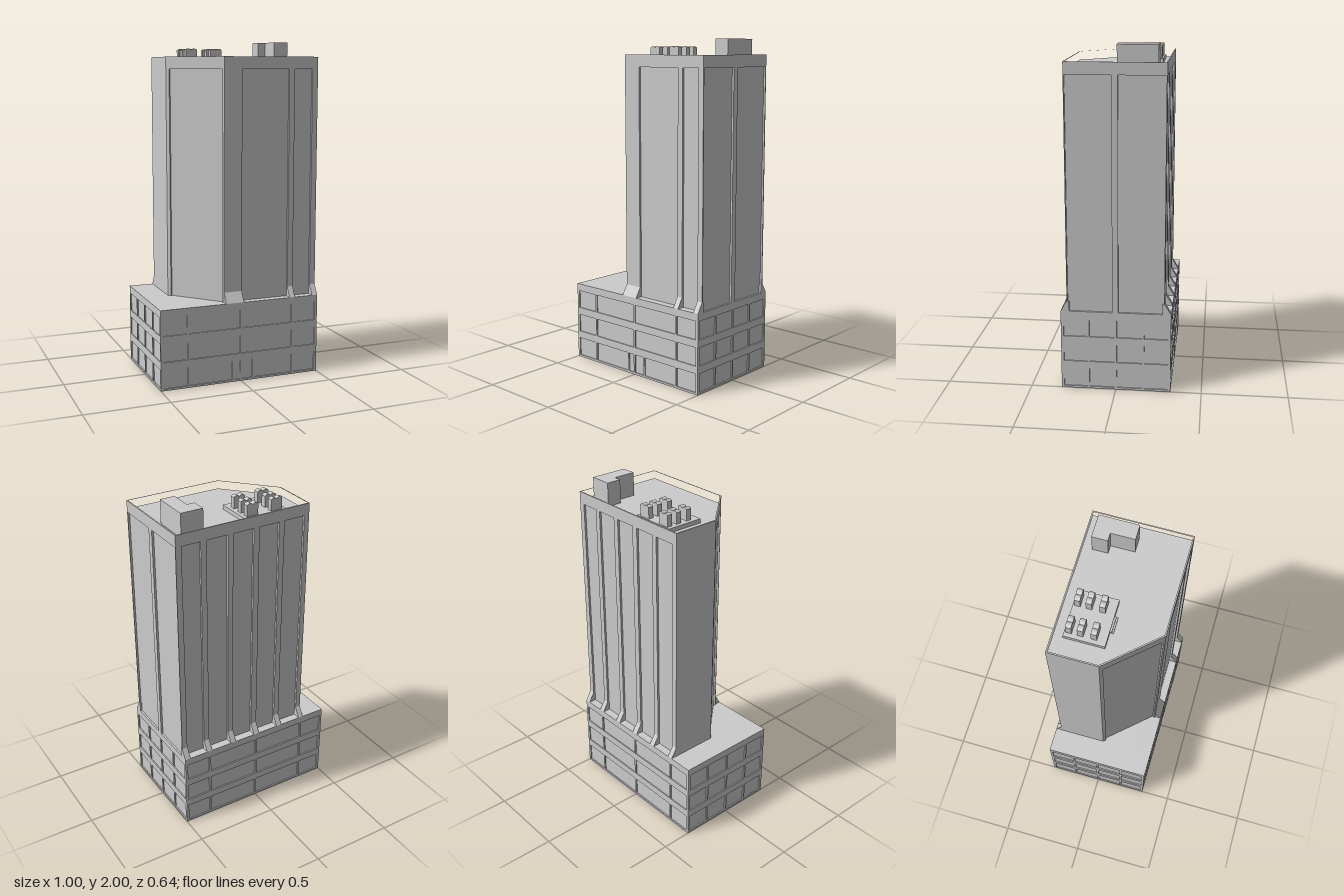
import * as THREE from 'three';

const material = new THREE.MeshStandardMaterial({ color: 0xcccccc });

function addMesh(parent, name, geometry, x = 0, y = 0, z = 0) {
  const mesh = new THREE.Mesh(geometry, material);
  mesh.name = name;
  mesh.position.set(x, y, z);
  parent.add(mesh);
  return mesh;
}

function addBox(parent, name, x0, x1, y0, y1, z0, z1) {
  return addMesh(parent, name, new THREE.BoxGeometry(x1 - x0, y1 - y0, z1 - z0),
    (x0 + x1) / 2, (y0 + y1) / 2, (z0 + z1) / 2);
}

const toVectors = (points) => points.map(([x, y]) => new THREE.Vector2(x, y));
const extrude = (shape, depth) => new THREE.ExtrudeGeometry(shape, { depth, bevelEnabled: false });

// Raises a plan given as [x, z] corners from y0 to y1
function addPlan(parent, name, plan, y0, y1, hole) {
  const flip = (points) => toVectors(points.map(([x, z]) => [x, -z]));
  const shape = new THREE.Shape(flip(plan));
  if (hole) shape.holes.push(new THREE.Path(flip(hole)));
  return addMesh(parent, name, extrude(shape, y1 - y0).rotateX(-Math.PI / 2), 0, y0, 0);
}

// Cuts shallow bays, given as [start, end] distances, into each edge of a plan
function cutBays(plan, baysPerEdge, depth) {
  const out = [];
  plan.forEach(([x, z], i) => {
    const [nx, nz] = plan[(i + 1) % plan.length];
    const length = Math.hypot(nx - x, nz - z);
    const dx = (nx - x) / length, dz = (nz - z) / length;
    const at = (d, inset) => [x + dx * d - dz * inset, z + dz * d + dx * inset];
    out.push([x, z]);
    for (const [a, b] of baysPerEdge[i]) out.push(at(a, 0), at(a, depth), at(b, depth), at(b, 0));
  });
  return out;
}

// Thin facade sheet with rectangular windows
function facade(width, height, depth, rows, splitsForRow) {
  const w = width / 2, gap = 0.006;
  const shape = new THREE.Shape(toVectors([[-w, 0], [w, 0], [w, height], [-w, height]]));
  rows.forEach(([y0, y1], row) => {
    const splits = splitsForRow(row);
    for (let i = 0; i < splits.length - 1; i++) {
      const a = splits[i] + gap, b = splits[i + 1] - gap;
      shape.holes.push(new THREE.Path(toVectors([[a, y0], [a, y1], [b, y1], [b, y0]])));
    }
  });
  return extrude(shape, depth);
}

function buildPodium() {
  const podium = new THREE.Group();
  podium.name = 'podium';
  const d = 0.007, h = 0.48, w = 0.5, z = 0.32;
  addBox(podium, 'podiumCore', -w + d, w - d, 0, h, -z + d, z - d);
  const rows = [[0.012, 0.125], [0.17, 0.28], [0.325, 0.435]];
  const wide = [-0.49, -0.33, 0, 0.335, 0.49];
  const entrance = [-0.49, -0.33, -0.05, 0, 0.08, 0.335, 0.49];
  const narrow = [-0.31, -0.16, 0, 0.16, 0.31];
  addMesh(podium, 'frontFacade', facade(1, h, d, rows, (r) => (r === 0 ? entrance : wide)), 0, 0, z - d);
  addMesh(podium, 'backFacade', facade(1, h, d, rows, () => wide), 0, 0, -z + d).rotation.y = Math.PI;
  for (const s of [-1, 1]) {
    const side = facade(2 * (z - d), h, d, rows, () => narrow);
    addMesh(podium, s > 0 ? 'leftFacade' : 'rightFacade', side, s * (w - d), 0, 0).rotation.y = s * Math.PI / 2;
  }
  return podium;
}

function buildTower() {
  const tower = new THREE.Group();
  tower.name = 'tower';
  const plan = [[-0.35, -0.284], [0.5, -0.284], [0.5, 0.284], [-0.095, 0.284], [-0.35, 0]];
  const inner = [[-0.342, -0.276], [0.492, -0.276], [0.492, 0.276], [-0.091, 0.276], [-0.342, -0.003]];
  const bays = [
    [[0.032, 0.165], [0.2, 0.33], [0.367, 0.498], [0.533, 0.665], [0.7, 0.815]],
    [[0.006, 0.269], [0.304, 0.562]],
    [[0.035, 0.15], [0.185, 0.483]],
    [[0.012, 0.36]],
    [],
  ];
  addPlan(tower, 'shaft', cutBays(plan, bays, 0.012), 0.48, 1.84);
  addPlan(tower, 'roofSlab', plan, 1.84, 1.86);
  addPlan(tower, 'parapet', plan, 1.86, 1.91, inner);

  // Sloped feet below the piers
  const foot = new THREE.Shape(toVectors([[0.27, 0.48], [0.32, 0.48], [0.284, 0.54], [0.27, 0.54]]));
  const frontPiers = [[-0.095, 0.017], [0.315, 0.35], [0.465, 0.5]];
  const backPiers = [[-0.35, -0.318], [-0.185, -0.15], [-0.02, 0.017], [0.148, 0.183], [0.315, 0.35], [0.465, 0.5]];
  for (const [a, b] of frontPiers) {
    addMesh(tower, 'frontPierFoot', extrude(foot, b - a).rotateY(-Math.PI / 2), b, 0, 0);
  }
  for (const [a, b] of backPiers) {
    addMesh(tower, 'backPierFoot', extrude(foot, b - a).rotateY(Math.PI / 2), a, 0, 0);
  }
  return tower;
}

function buildRoof() {
  const roof = new THREE.Group();
  roof.name = 'roofEquipment';
  const stairPlan = [[0.3, -0.23], [0.436, -0.23], [0.436, -0.003], [0.347, -0.003], [0.347, -0.14], [0.3, -0.14]];
  addPlan(roof, 'stairHouse', stairPlan, 1.86, 2);

  // Raised platform with two steps
  addBox(roof, 'platform', -0.23, 0.044, 1.86, 1.885, -0.23, -0.003);
  addBox(roof, 'upperStep', -0.138, -0.048, 1.86, 1.877, -0.003, 0.007);
  addBox(roof, 'lowerStep', -0.138, -0.048, 1.86, 1.868, 0.007, 0.016);

  // Cooling units with twin rounded tops
  const unit = new THREE.Shape();
  unit.moveTo(-0.036, 0);
  unit.lineTo(0.036, 0);
  unit.lineTo(0.036, 0.066);
  unit.quadraticCurveTo(0.018, 0.082, 0, 0.066);
  unit.quadraticCurveTo(-0.018, 0.082, -0.036, 0.066);
  const unitGeometry = extrude(unit, 0.032);
  for (const x of [-0.171, -0.014]) {
    for (const z of [-0.221, -0.158, -0.085]) addMesh(roof, 'coolingUnit', unitGeometry, x, 1.885, z);
  }
  return roof;
}

export function createModel() {
  const model = new THREE.Group();
  model.name = 'officeTower';
  model.add(buildPodium(), buildTower(), buildRoof());
  return model;
}
